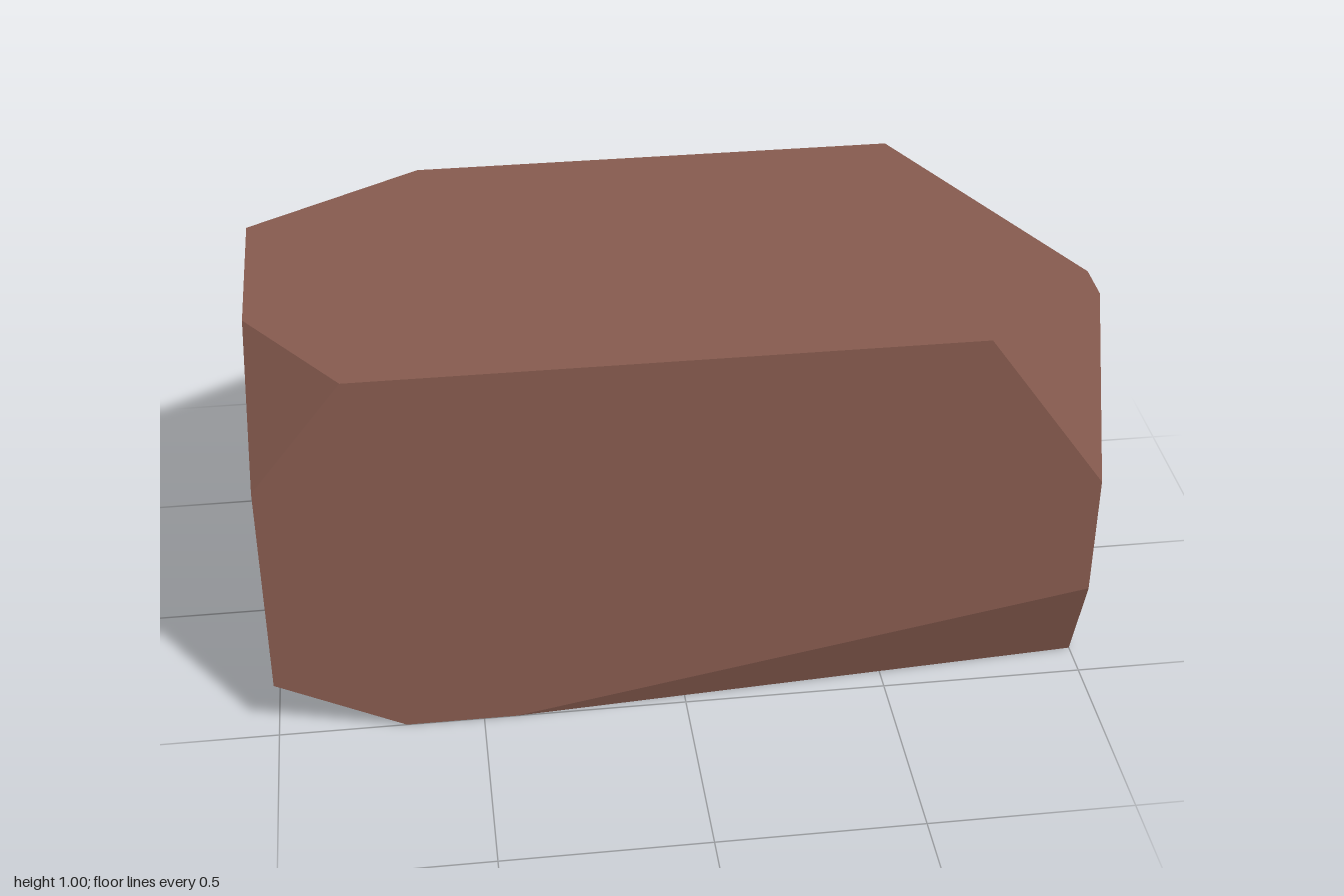
import * as THREE from 'three';
import { ConvexGeometry } from 'three/addons/geometries/ConvexGeometry.js';

export function createModel() {
  const group = new THREE.Group();
  const brown = new THREE.MeshStandardMaterial({ color: 0x875b4f });
  brown.name = 'brown rock';

  // Each block corner, and how far its cut runs along the x, y and z edges
  const cuts = [
    { corner: [1, 1, 0.5], cut: [0.3, 0.42, 0.175] },
    { corner: [-1, 1, 0.5], cut: [0.22, 0.28, 0.3] },
    { corner: [1, 1, -0.5], cut: [0.345, 0.26, 0.72] },
    { corner: [-1, 1, -0.5], cut: [0.43, 0.535, 0.255] },
    { corner: [1, 0, 0.5], cut: [1.42, 0.26, 0.09] },
    { corner: [-1, 0, 0.5], cut: [0.31, 0.155, 0.215] },
    { corner: [1, 0, -0.5], cut: [0.45, 0.28, 0.5] },
    { corner: [-1, 0, -0.5], cut: [0.295, 0.1, 0.495] },
  ];

  // Replace every corner by three points, one on each edge leaving it
  const center = [0, 0.5, 0];
  const points = [];
  for (const { corner, cut } of cuts) {
    for (let axis = 0; axis < 3; axis++) {
      const p = [...corner];
      p[axis] -= Math.sign(corner[axis] - center[axis]) * cut[axis];
      points.push(new THREE.Vector3(...p));
    }
  }

  // Faceted rock block
  const rock = new THREE.Mesh(new ConvexGeometry(points), brown);
  rock.name = 'rock';
  group.add(rock);
  return group;
}
